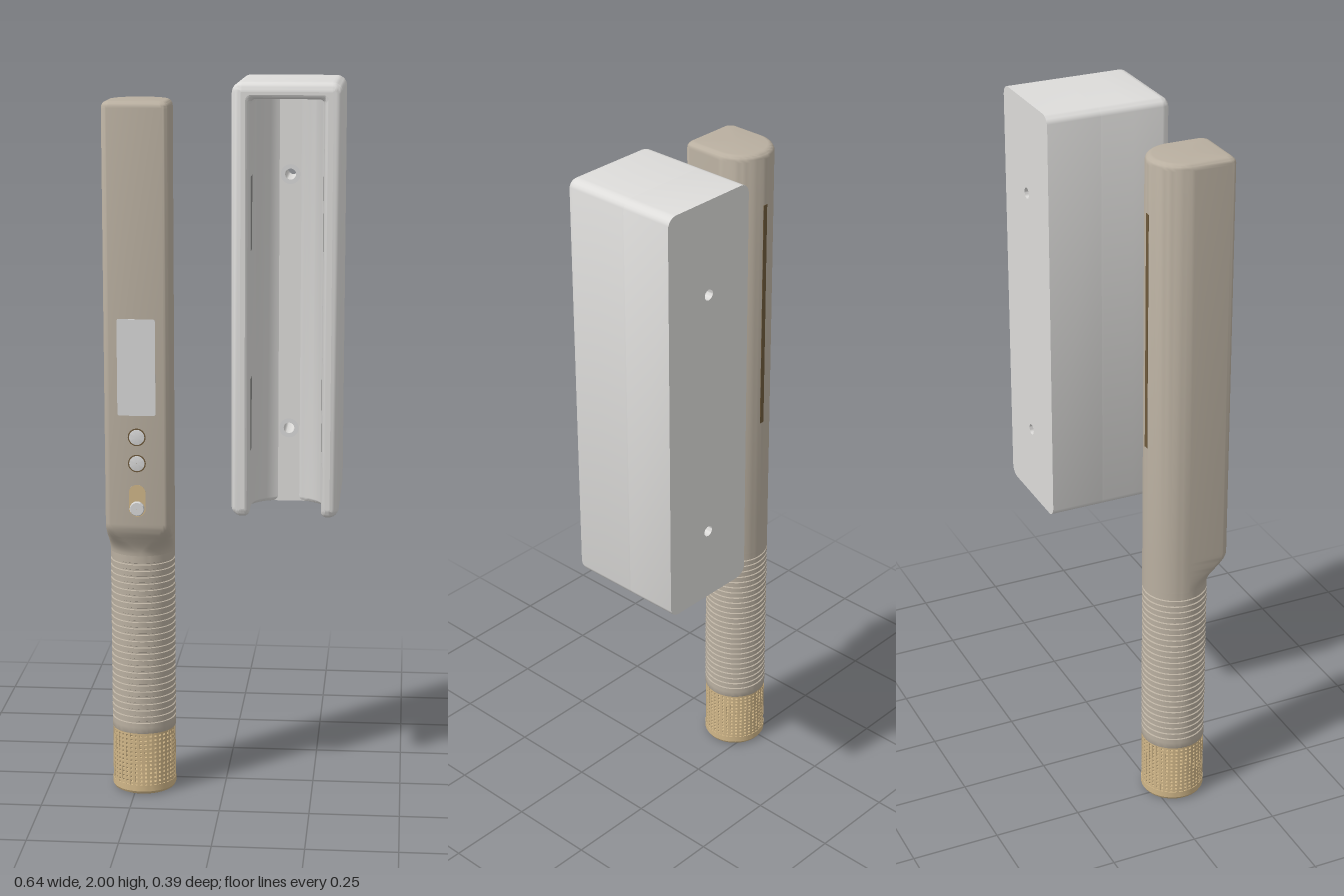
import * as THREE from 'three';
import { mergeGeometries, toCreasedNormals } from 'three/addons/utils/BufferGeometryUtils.js';

const material = (name, color) => {
  const m = new THREE.MeshStandardMaterial({ color });
  m.name = name;
  return m;
};

// Skin through equal-length closed rings of Vector3
function loft(rings) {
  const n = rings[0].length, index = [];
  for (let i = 0; i < rings.length - 1; i++) {
    for (let j = 0; j < n; j++) {
      const k = (j + 1) % n, a = i * n, b = a + n;
      index.push(a + j, a + k, b + j, a + k, b + k, b + j);
    }
  }
  const g = new THREE.BufferGeometry().setFromPoints(rings.flat());
  g.setIndex(index);
  return toCreasedNormals(g, 0.6);
}

// Points along a corner arc, angles in degrees
function arc(cx, cy, r, from, to, n = 6) {
  return Array.from({ length: n + 1 }, (_, i) => {
    const a = THREE.MathUtils.degToRad(from + (to - from) * i / n);
    return new THREE.Vector2(cx + r * Math.cos(a), cy + r * Math.sin(a));
  });
}

const roundedRect = (w, y0, y1, r) => [
  ...arc(w - r, y0 + r, r, -90, 0), ...arc(w - r, y1 - r, r, 0, 90),
  ...arc(-w + r, y1 - r, r, 90, 180), ...arc(-w + r, y0 + r, r, 180, 270)];

const lathe = (pts, seg = 56) => toCreasedNormals(
  new THREE.LatheGeometry(pts.map(([r, y]) => new THREE.Vector2(r, y)), seg), 0.5);

export function createModel() {
  const bodyMat = material('warm grey', 0xb9afa0);
  const goldMat = material('pale gold', 0xd0b688);
  const darkMat = material('dark bronze', 0x6e5a3c);
  const greyMat = material('light grey', 0xd8d8d8);
  const holderMat = material('holder grey', 0xdddcda);
  const slotMat = material('mid grey', 0x8a8a88);

  const model = new THREE.Group();
  const add = (parent, name, geometry, mat, x = 0, y = 0, z = 0) => {
    const m = new THREE.Mesh(geometry, mat);
    m.name = name;
    m.position.set(x, y, z);
    parent.add(m);
    return m;
  };

  // ---------- Wand (local origin on the handle axis) ----------
  const wand = new THREE.Group();
  wand.name = 'wand';
  wand.position.set(-0.23, 0, 0.06);
  model.add(wand);
  const R = 0.09;

  // Section morphs from a circle (t = 0) to a round-backed D (t = 1)
  const circle = [...arc(0, 0, R, 0, 180, 28), ...arc(0, 0, R, 183, 268, 8), ...arc(0, 0, R, 272, 357, 8)];
  const dShape = [...arc(0, 0, R, 0, 180, 28), ...arc(-0.07, -0.101, 0.02, 180, 270, 8), ...arc(0.07, -0.101, 0.02, 270, 360, 8)];
  const section = (y, t, scale = 1) => circle.map((c, i) => {
    const p = c.clone().lerp(dShape[i], t);
    return new THREE.Vector3(p.x * scale, y, 0.016 * t + (-p.y - 0.016 * t) * scale);
  });
  const bodyRings = [];
  for (let i = 0; i <= 12; i++) {
    bodyRings.push(section(0.7 + 0.1 * i / 12, THREE.MathUtils.smoothstep(i / 12, 0, 1)));
  }
  for (let i = 0; i <= 5; i++) {
    const a = i / 5 * Math.PI / 2;
    bodyRings.push(section(1.932 + 0.018 * Math.sin(a), 1, 1 - 0.18 * (1 - Math.cos(a))));
  }
  bodyRings.push(section(1.95, 1, 0.001));
  add(wand, 'body', loft(bodyRings), bodyMat);

  // Ribbed grip
  const grip = [[0.001, 0.182], [0.089, 0.182], [R, 0.184], [R, 0.2]];
  const ribs = 26, pitch = 0.0185;
  for (let i = 0; i < ribs; i++) {
    const y = 0.2 + i * pitch;
    grip.push([R, y + 0.012], [0.0865, y + 0.0135], [0.0865, y + 0.017], [R, y + pitch]);
  }
  grip.push([R, 0.701]);
  add(wand, 'grip', lathe(grip), bodyMat);

  // Perforated intake sleeve: upright bars crossed by rings
  const sleeve = [];
  const bars = 40;
  for (let i = 0; i < bars; i++) {
    const g = new THREE.BoxGeometry(0.0075, 0.155, 0.008);
    g.translate(0, 0.105, 0.085);
    g.rotateY((i + 0.5) / bars * Math.PI * 2);
    sleeve.push(g.toNonIndexed());
  }
  for (let i = 0; i < 13; i++) {
    const y = 0.03 + i * 0.0122;
    sleeve.push(lathe([[0.081, y], [0.0888, y], [0.0888, y + 0.0065], [0.081, y + 0.0065], [0.081, y]], 40));
  }
  add(wand, 'intakeSleeve', mergeGeometries(sleeve), goldMat);
  add(wand, 'endCap', lathe([[0.001, 0], [0.08, 0], [0.086, 0.003], [R, 0.01], [R, 0.028], [0.001, 0.028]]), goldMat);

  // Front controls
  const front = 0.121;
  add(wand, 'display', new THREE.ExtrudeGeometry(
    new THREE.Shape(roundedRect(0.052, 1.105, 1.37, 0.006)), { depth: 0.0015, bevelEnabled: false }), greyMat, 0, 0, front);
  const button = (name, y, r, h) => {
    const m = add(wand, name, lathe([[r, 0], [r, h * 0.8], [r - 0.002, h], [0.0005, h]], 32), greyMat, 0, y, front);
    m.rotation.x = Math.PI / 2;
  };
  [1.045, 0.972].forEach((y, i) => {
    const rim = add(wand, 'buttonRim' + (i + 1), new THREE.CircleGeometry(0.0245, 32), darkMat, 0, y, front + 0.0006);
    rim.renderOrder = 0;
    button('button' + (i + 1), y, 0.021, 0.0025);
  });
  add(wand, 'sliderTrack', new THREE.ExtrudeGeometry(
    new THREE.Shape(roundedRect(0.023, 0.822, 0.912, 0.0228)), { depth: 0.001, bevelEnabled: false }), goldMat, 0, 0, front);
  button('sliderKnob', 0.846, 0.02, 0.012);

  // Long narrow vent on the back
  add(wand, 'backVent', new THREE.BoxGeometry(0.014, 0.67, 0.004), darkMat, 0, 1.465, -0.0888);

  // ---------- Holder ----------
  const holder = new THREE.Group();
  holder.name = 'holder';
  holder.position.x = 0.1725;
  model.add(holder);
  const W = 0.1475, Y0 = 0.82, Y1 = 2, cr = 0.098, cz = 0.05, strip = 0.03;
  const seamZ = cz - Math.sqrt(cr * cr - strip * strip);

  // Outline with a slot open at the bottom: e insets the outside, f widens the slot
  const outline = (s0, e, f) => {
    const s = s0 + f, w = W - e, y0 = Y0 + e, y1 = Y1 - e, ys = 1.955 + f;
    const r = 0.029 - e, q = 0.016 - f, c = 0.014;
    return [
      ...roundedRect(w, y0, y1, r),
      ...arc(-s - q, y0 + q, q, 270, 360),
      ...arc(-s + c, ys - c, c, 180, 90),
      ...arc(s - c, ys - c, c, 90, 0),
      ...arc(s + q, y0 + q, q, 180, 270)];
  };
  const at = (pts, z) => pts.map(p => new THREE.Vector3(p.x, p.y, z));
  const rings = [];
  const a0 = Math.asin(strip / cr);
  for (let i = 0; i <= 14; i++) {
    const a = a0 + (Math.PI / 2 - a0) * i / 14;
    rings.push(at(outline(cr * Math.sin(a), 0, 0), cz - cr * Math.cos(a)));
  }
  for (let i = 0; i <= 6; i++) {
    const a = i / 6 * Math.PI / 2, k = 1 - Math.cos(a);
    rings.push(at(outline(cr, 0.025 * k, 0.012 * k), 0.135 + 0.025 * Math.sin(a)));
  }
  add(holder, 'holderShell', loft(rings), holderMat);
  add(holder, 'holderLip', new THREE.ShapeGeometry(new THREE.Shape(outline(cr, 0.025, 0.012))), holderMat, 0, 0, 0.16);

  // Back slab with two screw holes
  const slab = new THREE.Shape(roundedRect(W, Y0, Y1, 0.029));
  const screwY = [1.03, 1.74];
  screwY.forEach(y => slab.holes.push(new THREE.Path(arc(0, y, 0.015, 360, 0, 24).slice(0, -1))));
  add(holder, 'holderBack', toCreasedNormals(new THREE.ExtrudeGeometry(slab,
    { depth: seamZ + 0.195, bevelEnabled: false }), 0.6), holderMat, 0, 0, -0.195);
  screwY.forEach((y, i) => add(holder, 'screwSeat' + (i + 1),
    new THREE.RingGeometry(0.015, 0.027, 32), greyMat, 0, y, seamZ + 0.001));

  // Inset pads on both inner walls
  for (const side of [-1, 1]) {
    for (const y of [1.1, 1.65]) {
      add(holder, 'innerPad', new THREE.BoxGeometry(0.003, 0.2, 0.045), slotMat, side * cr, y, 0.1);
    }
  }
  return model;
}
